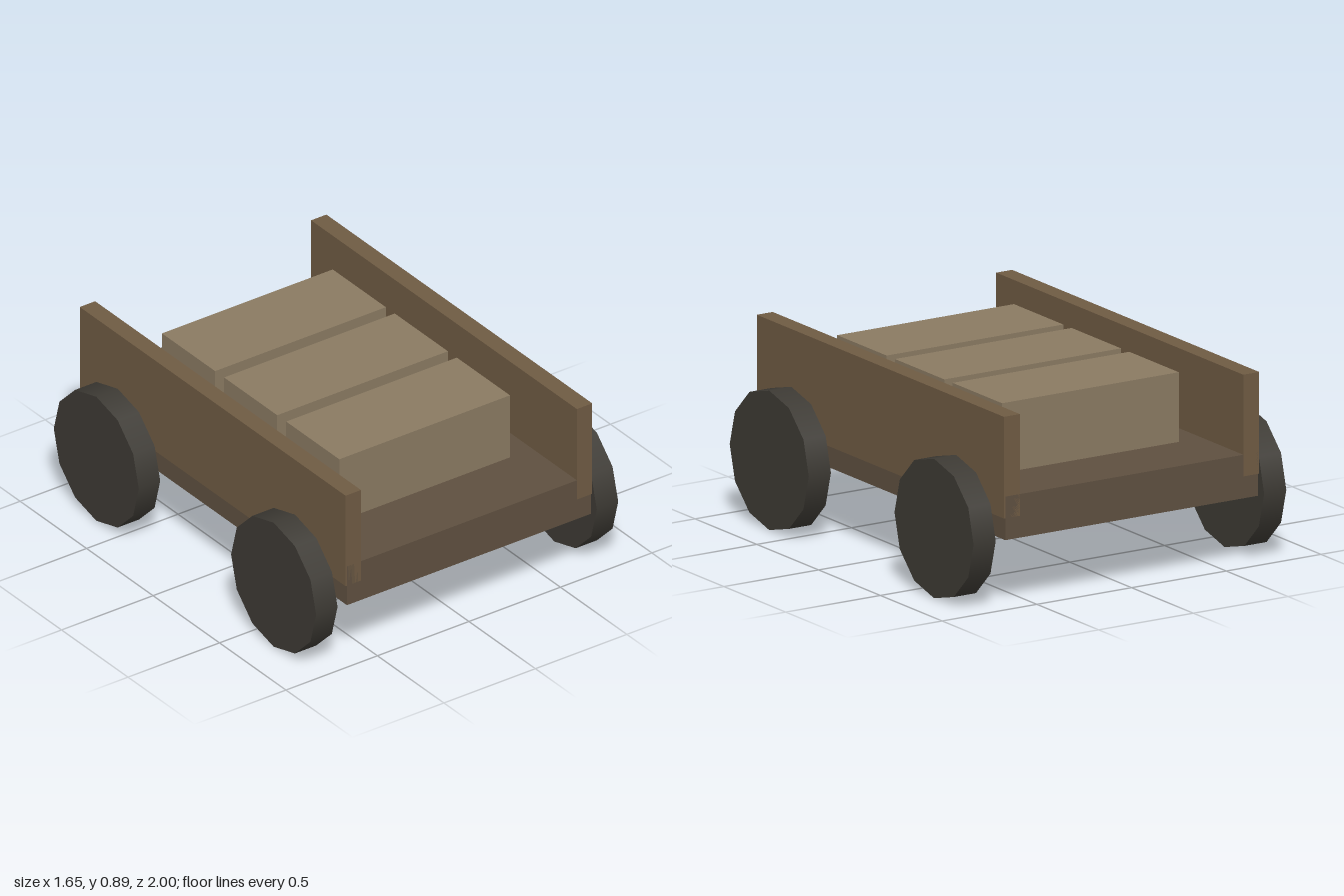
import * as THREE from 'three';

const material = (color) => new THREE.MeshStandardMaterial({ color });

export function createModel() {
  const cart = new THREE.Group();
  cart.name = 'cart';

  const bedWood = material(0x5f5040);
  const sideWood = material(0x6f5b43);
  const crateWood = material(0x8a7a62);
  const wheelDark = material(0x3d3a34);

  const add = (name, geometry, mat, x, y, z) => {
    const mesh = new THREE.Mesh(geometry, mat);
    mesh.name = name;
    mesh.position.set(x, y, z);
    cart.add(mesh);
  };

  // Flat bed
  add('bed', new THREE.BoxGeometry(1.333, 0.2, 2), bedWood, 0, 0.42, 0);

  // Side boards, slightly proud of the bed
  const board = new THREE.BoxGeometry(0.084, 0.467, 2);
  // Twelve-sided wheels, axis along x
  const wheel = new THREE.CylinderGeometry(0.32, 0.32, 0.117, 12).rotateZ(Math.PI / 2);

  for (const [side, s] of [['left', 1], ['right', -1]]) {
    add(side + 'SideBoard', board, sideWood, s * 0.632, 0.654, 0);
    for (const [end, e] of [['Front', 1], ['Back', -1]]) {
      add(side + end + 'Wheel', wheel, wheelDark, s * 0.767, 0.32, e * 0.667);
    }
  }

  // Row of three crates resting on the bed
  const crate = new THREE.BoxGeometry(0.933, 0.32, 0.4);
  ['back', 'middle', 'front'].forEach((place, i) => {
    add(place + 'Crate', crate, crateWood, 0, 0.68, (i - 1) * 0.467);
  });

  return cart;
}
